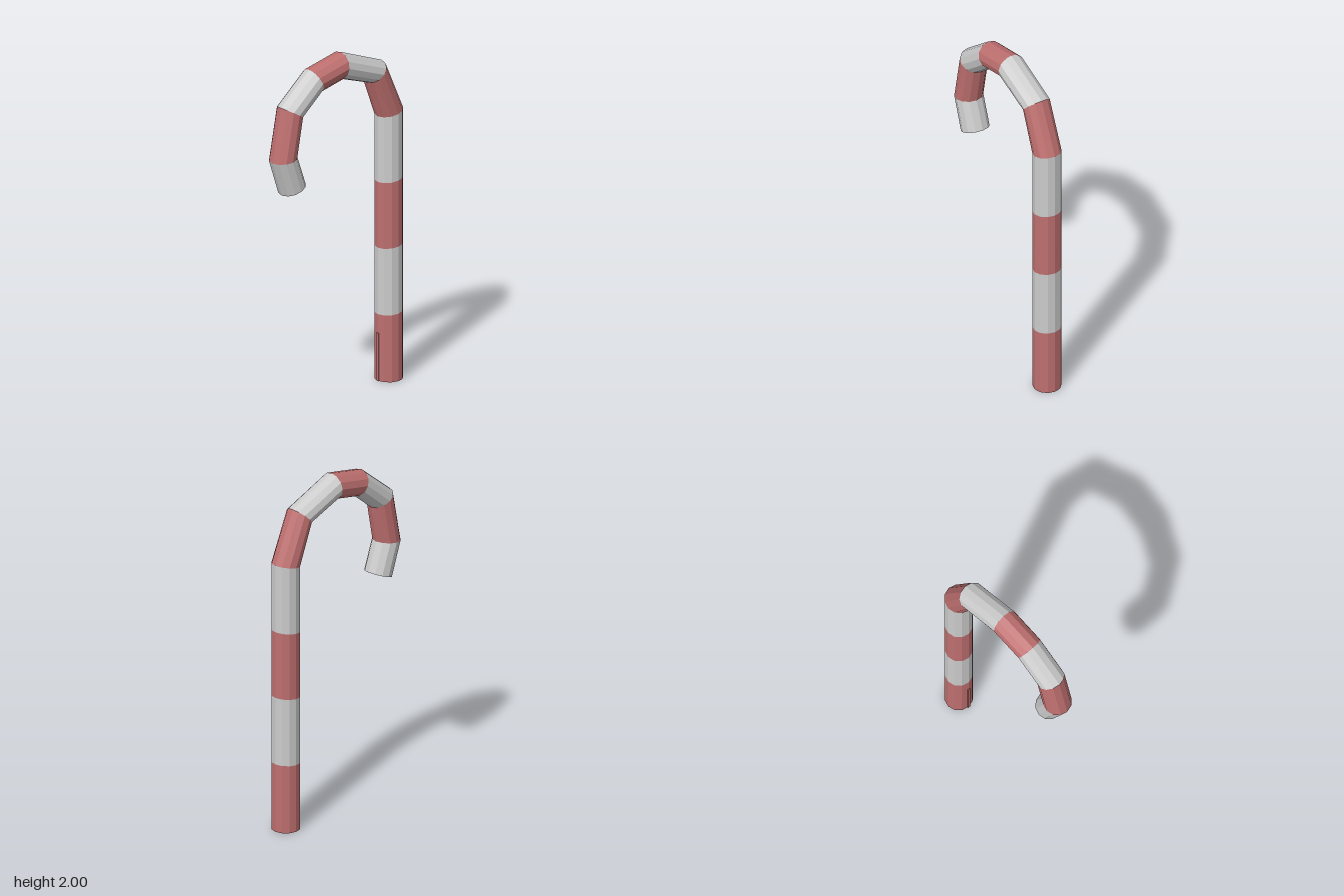
import * as THREE from 'three';

const SIDES = 12, RADIUS = 0.08;

// Joints along the cane: [inner x, inner y, outer x, outer y]
const JOINTS = [
  [0.31, 0, 0.47, 0],
  [0.31, 0.39, 0.47, 0.4],
  [0.31, 0.78, 0.47, 0.795],
  [0.31, 1.165, 0.47, 1.185],
  [0.31, 1.55, 0.47, 1.58],
  [0.23, 1.77, 0.337, 1.875],
  [0.02, 1.847, 0.033, 2.0],
  [-0.14, 1.815, -0.2, 1.955],
  [-0.275, 1.705, -0.41, 1.785],
  [-0.315, 1.49, -0.472, 1.475],
  [-0.255, 1.323, -0.403, 1.27],
];

// Mitred elliptical ring at a joint
function ring([ix, iy, ox, oy]) {
  const points = [];
  for (let i = 0; i < SIDES; i++) {
    const a = (i / SIDES) * Math.PI * 2, c = Math.cos(a) / 2;
    points.push([(ix + ox) / 2 + (ox - ix) * c, (iy + oy) / 2 + (oy - iy) * c, RADIUS * Math.sin(a)]);
  }
  return points;
}

// Tube section between two joints, capped where the cane ends
function section(from, to, capStart, capEnd) {
  const a = ring(from), b = ring(to), pos = [];
  const tri = (...corners) => corners.forEach((p) => pos.push(...p));
  for (let i = 0; i < SIDES; i++) {
    const j = (i + 1) % SIDES;
    tri(a[i], b[i], b[j]);
    tri(a[i], b[j], a[j]);
    if (capStart && i > 0 && j > 0) tri(a[0], a[i], a[j]);
    if (capEnd && i > 0 && j > 0) tri(b[0], b[j], b[i]);
  }
  const geometry = new THREE.BufferGeometry();
  geometry.setAttribute('position', new THREE.Float32BufferAttribute(pos, 3));
  geometry.computeVertexNormals();
  return geometry;
}

export function createModel() {
  const cane = new THREE.Group();
  cane.name = 'candyCane';
  const red = new THREE.MeshStandardMaterial({ color: 0xbe6f6f, flatShading: true });
  const grey = new THREE.MeshStandardMaterial({ color: 0xcccccc, flatShading: true });

  // Alternating stripes: four on the straight shaft, six around the hook
  const last = JOINTS.length - 2;
  for (let i = 0; i <= last; i++) {
    const stripe = new THREE.Mesh(
      section(JOINTS[i], JOINTS[i + 1], i === 0, i === last), i % 2 ? grey : red);
    stripe.name = (i < 4 ? 'shaftStripe' : 'hookStripe') + (i + 1);
    cane.add(stripe);
  }

  // Slim raised ridge low on the inner side of the shaft
  const ridge = new THREE.Mesh(new THREE.BoxGeometry(0.01, 0.28, 0.015), red);
  ridge.name = 'shaftRidge';
  ridge.position.set(0.311, 0.14, 0);
  cane.add(ridge);

  return cane;
}
